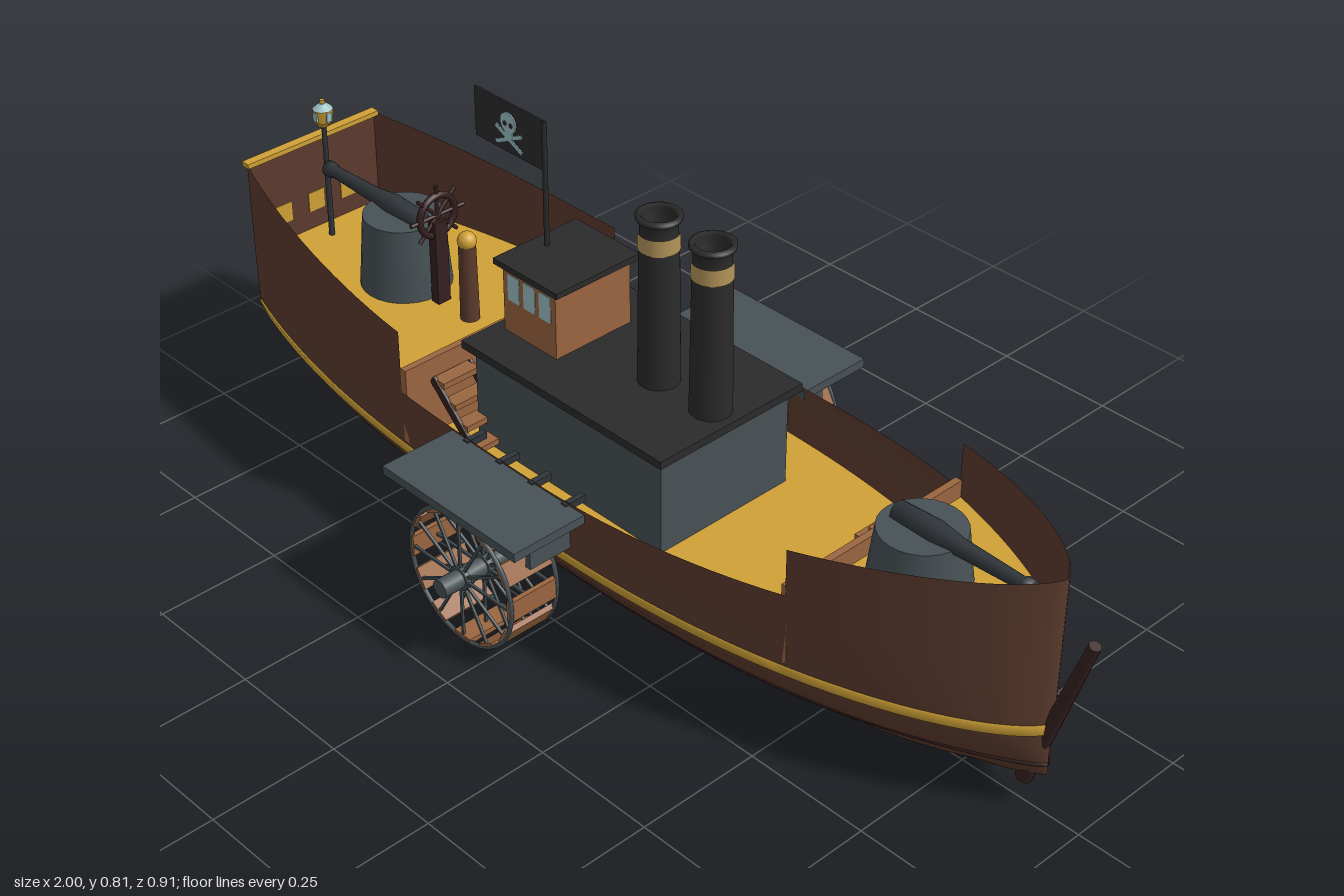
import * as THREE from 'three';

const mat = (name, color, side = THREE.FrontSide) => {
  const m = new THREE.MeshStandardMaterial({ color, side });
  m.name = name;
  return m;
};

// Hull form: half beam, bottom, rim and cross-section rules
const beam = x => 0.273 * (x > 0 ? (1 - Math.min(1, x / 0.925) ** 2.2) ** 0.7 : 1 - 0.43 * (-x / 0.98) ** 2.8);
const bottom = x => 0.006 + 0.092 * (Math.abs(x) / 0.98) ** 4;
const SECTION = [[0, 0], [0.03, 0.26], [0.21, 0.55], [0.47, 0.79], [0.74, 0.94], [1, 0.99], [1.5, 1]];
const halfWidth = (x, y) => {
  const k = (y - bottom(x)) / (0.2 - bottom(x));
  if (k <= 0) return 0;
  const i = SECTION.findIndex(s => s[0] >= k);
  if (i < 0) return beam(x);
  const [a, b] = [SECTION[i - 1], SECTION[i]];
  return beam(x) * (a[1] + (b[1] - a[1]) * (k - a[0]) / (b[0] - a[0]));
};
const rims = {
  aft: x => 0.44 + 0.06 * (Math.max(0, -0.39 - x) / 0.59) ** 1.3,
  waist: x => 0.31 + 0.032 * Math.max(0, x / 0.53) ** 1.5,
  fore: x => 0.435 + 0.05 * (x - 0.53) / 0.395,
};
const range = (a, b, n) => Array.from({ length: n + 1 }, (_, i) => a + (b - a) * i / n);
// Stations crowd together towards the blunt bow
const bowRange = range(0, 1, 18).map(t => 0.925 - 0.395 * (1 - t) ** 2);

// Skin between successive rows of [x, y, z] points
function loft(rows) {
  const n = rows[0].length, idx = [];
  for (let i = 0; i < rows.length - 1; i++)
    for (let j = 0; j < n - 1; j++) {
      const a = i * n + j, b = a + n;
      idx.push(a, b, a + 1, b, b + 1, a + 1);
    }
  const g = new THREE.BufferGeometry();
  g.setAttribute('position', new THREE.Float32BufferAttribute(rows.flat(2), 3));
  g.setIndex(idx);
  g.computeVertexNormals();
  return g;
}

export function createModel() {
  const D = THREE.DoubleSide;
  const hullM = mat('hull brown', 0x5c3b2d, D), wood = mat('light wood', 0x9a653f);
  const gold = mat('gold', 0xcfa136, D), black = mat('soot black', 0x2b2b2c, D);
  const slate = mat('slate metal', 0x475155), iron = mat('dark iron', 0x30353a);
  const dark = mat('dark timber', 0x35201f, D), glass = mat('pale glass', 0x9cc0c4);
  const tan = mat('tan band', 0xb4945a);

  const ship = new THREE.Group();
  ship.name = 'paddleSteamer';
  const add = (name, geo, m, x = 0, y = 0, z = 0, parent = ship) => {
    const mesh = new THREE.Mesh(geo, m);
    mesh.name = name;
    mesh.position.set(x, y, z);
    parent.add(mesh);
    return mesh;
  };
  const box = (name, m, w, h, d, x, y, z, p) => add(name, new THREE.BoxGeometry(w, h, d), m, x, y, z, p);
  const cyl = (name, m, r1, r2, h, x, y, z, p, seg = 24, open = false) =>
    add(name, new THREE.CylinderGeometry(r1, r2, h, seg, 1, open), m, x, y, z, p);
  const group = (name, x = 0, y = 0, z = 0) => {
    const g = new THREE.Group();
    g.name = name;
    g.position.set(x, y, z);
    ship.add(g);
    return g;
  };

  // Hull shell with stepped bulwarks
  const station = (x, rim) => {
    const yb = bottom(x), half = SECTION.map(([k, f]) => [x, yb + k * (0.2 - yb), f * beam(x)]);
    half[half.length - 1][1] = 0.295;
    half.push([x, rim(x), beam(x)]);
    return [...half.slice(1).reverse().map(([a, b, c]) => [a, b, -c]), ...half];
  };
  add('hull', loft([
    ...range(-0.98, -0.39, 14).map(x => station(x, rims.aft)),
    ...range(-0.39, 0.53, 20).map(x => station(x, rims.waist)),
    ...bowRange.map(x => station(x, rims.fore)),
  ]), hullM);
  const s = station(-0.98, rims.aft), mid = (s.length - 1) / 2;
  add('transom', loft(s.slice(mid).map(([x, y, z]) => [[x, y, -z], [x, y, z]])), hullM);

  // Painted bands along both sides
  const band = (name, m, y, h, t) => {
    for (const side of [-1, 1])
      add(name, loft([...range(-0.98, 0.51, 34), ...bowRange].map(x => {
        const lo = halfWidth(x, y), hi = halfWidth(x, y + h);
        return [[lo - 0.004, y], [lo + t, y], [hi + t, y + h], [hi - 0.004, y + h]]
          .map(([w, yy]) => [x, yy, side * w]);
      })), m);
  };
  band('goldStripe', gold, 0.172, 0.02, 0.005);
  band('waterlineStrake', dark, 0.1, 0.008, 0.003);

  // Decks and bulkheads
  const decks = [['aftDeck', range(-0.98, -0.39, 14), 0.3], ['mainDeck', range(-0.39, 0.53, 20), 0.2], ['foreDeck', bowRange, 0.325]];
  for (const [name, xs, y] of decks)
    add(name, loft(xs.map(x => [[x, y, -halfWidth(x, y)], [x, y, halfWidth(x, y)]])), gold);
  for (const x of [-0.385, 0.527])
    box('bulkhead', wood, 0.014, 0.16, 2 * beam(x) - 0.004, x, 0.28, 0);

  // Stairs up to the raised decks
  for (const [x0, dir, z, w] of [[-0.378, 1, 0.16, 0.085], [0.52, -1, -0.15, 0.09]]) {
    for (let i = 0; i < 4; i++)
      box('stairStep', wood, 0.032, 0.012, w, x0 + dir * (0.018 + i * 0.031), 0.315 - i * 0.032, z);
    for (const e of [-1, 1])
      box('stairStringer', dark, 0.165, 0.018, 0.006, x0 + dir * 0.062, 0.262, z + e * w / 2).rotation.z = -dir * 0.77;
  }

  // Keel, stem and rudder
  box('keel', dark, 1.37, 0.022, 0.026, -0.06, 0.011, 0);
  cyl('stem', dark, 0.011, 0.016, 0.357, 0.935, 0.22, 0, ship, 12).rotation.z = -Math.atan2(0.11, 0.34);
  box('rudder', dark, 0.016, 0.225, 0.075, -0.99, 0.14, 0);

  // Stern rail and windows
  box('sternRail', gold, 0.02, 0.01, 0.32, -0.98, 0.5, 0);
  for (const z of [-0.08, 0, 0.08]) box('sternWindow', gold, 0.008, 0.042, 0.038, -0.982, 0.36, z);

  // Deckhouse and pilothouse
  box('deckhouse', slate, 0.485, 0.2, 0.31, -0.065, 0.298, 0);
  box('deckhouseRoof', black, 0.52, 0.016, 0.345, -0.065, 0.404, 0);
  box('pilothouse', wood, 0.14, 0.14, 0.18, -0.23, 0.48, 0);
  box('pilothouseRoof', black, 0.17, 0.012, 0.2, -0.23, 0.554, 0);
  for (const side of [-1, 1])
    for (const x of [-0.272, -0.23, -0.188])
      box('pilothouseWindow', glass, 0.031, 0.054, 0.004, x, 0.508, side * 0.089);

  // Twin funnels with open tops
  for (const x of [0.01, 0.14]) {
    const f = group('funnel', x, 0, 0);
    const profile = [[0.039, 0.41], [0.036, 0.685], [0.034, 0.715], [0.034, 0.738], [0.041, 0.741], [0.042, 0.748],
      [0.034, 0.751], [0.03, 0.745], [0.03, 0.66], [0, 0.66]].map(p => new THREE.Vector2(...p));
    add('funnelPipe', new THREE.LatheGeometry(profile, 28), black, 0, 0, 0, f);
    cyl('funnelBand', tan, 0.0375, 0.038, 0.032, 0, 0.7, 0, f, 28, true);
  }

  // Flag with painted emblem on both faces
  cyl('flagpole', black, 0.005, 0.005, 0.255, -0.282, 0.6825, 0, ship, 10);
  const flag = group('flag', -0.375, 0.762, 0);
  box('flagCloth', black, 0.185, 0.1, 0.004, 0, 0, 0, flag);
  for (const side of [-1, 1]) {
    const z = side * 0.003;
    cyl('skull', glass, 0.021, 0.021, 0.003, 0, 0.01, z, flag, 16).rotation.x = Math.PI / 2;
    box('jaw', glass, 0.022, 0.018, 0.003, 0, -0.013, z, flag);
    for (const e of [-1, 1]) {
      box('bone', glass, 0.078, 0.008, 0.002, 0, -0.022, z, flag).rotation.z = e * 0.45;
      cyl('eye', black, 0.005, 0.005, 0.002, e * 0.008, 0.008, side * 0.0045, flag, 10).rotation.x = Math.PI / 2;
    }
  }

  // Paddle wheels, sponsons and brackets on each side
  for (const side of [-1, 1]) {
    const wheel = group('paddleWheel', -0.065, 0.145, 0);
    cyl('axle', slate, 0.018, 0.018, 0.21, 0, 0, side * 0.35, wheel, 16).rotation.x = Math.PI / 2;
    for (const z of [0.302, 0.355, 0.407]) {
      cyl('hub', slate, 0.024, 0.024, 0.01, 0, 0, side * z, wheel, 16).rotation.x = Math.PI / 2;
      if (z !== 0.355) add('wheelRim', new THREE.TorusGeometry(0.135, 0.0045, 6, 36), slate, 0, 0, side * z, wheel);
      for (let i = 0; i < 6; i++)
        box('spokePair', slate, 0.266, 0.005, 0.005, 0, 0, side * z, wheel).rotation.z = i * Math.PI / 6;
    }
    for (let i = 0; i < 12; i++) {
      const a = i * Math.PI / 6;
      box('paddle', wood, 0.01, 0.042, 0.11, 0.131 * Math.cos(a), 0.131 * Math.sin(a), side * 0.355, wheel).rotation.z = a;
    }
    box('sponson', slate, 0.35, 0.018, 0.16, -0.065, 0.297, side * 0.35);
    for (const x of [-0.195, -0.107, -0.022, 0.065]) {
      box('bracketArm', iron, 0.012, 0.014, 0.045, x, 0.302, side * 0.256);
      if (x < -0.15 || x > 0.05) box('bracket', slate, 0.012, 0.075, 0.095, x, 0.252, side * 0.315);
    }
  }

  // Deck guns on round mounts
  for (const [x, y, h, dir] of [[-0.7, 0.3, 0.15, -1], [0.63, 0.325, 0.1, 1]]) {
    const gun = group('deckGun', x, y, 0);
    cyl('gunMount', slate, 0.078, 0.09, h, 0, h / 2, 0, gun, 28);
    const barrel = new THREE.LatheGeometry([[0, -0.06], [0.02, -0.055], [0.023, 0.03], [0.016, 0.08], [0.012, 0.21],
      [0.016, 0.215], [0.016, 0.23], [0, 0.23]].map(p => new THREE.Vector2(...p)), 16);
    add('gunBarrel', barrel, iron, 0, h + 0.003, 0, gun).rotation.z = -dir * Math.PI / 2;
  }

  // Steering wheel on its stand
  const helm = group('helm', -0.595, 0.488, 0);
  box('helmStand', dark, 0.02, 0.18, 0.03, 0, -0.1, 0, helm);
  add('helmRing', new THREE.TorusGeometry(0.042, 0.007, 8, 28), dark, 0, 0, 0, helm).rotation.y = Math.PI / 2;
  for (let i = 0; i < 4; i++)
    cyl('helmSpokes', dark, 0.004, 0.004, 0.128, 0, 0, 0, helm, 8).rotation.x = i * Math.PI / 4;

  // Compass stand
  cyl('compassStand', hullM, 0.017, 0.019, 0.16, -0.51, 0.38, 0);
  add('compassCap', new THREE.SphereGeometry(0.019, 16, 12), gold, -0.51, 0.469, 0);

  // Stern lantern with glass panes in a gold frame
  const lamp = group('sternLantern', -0.935, 0, 0);
  cyl('lampPost', iron, 0.005, 0.006, 0.245, 0, 0.4225, 0, lamp, 10);
  cyl('lampBase', gold, 0.02, 0.01, 0.012, 0, 0.551, 0, lamp, 8);
  cyl('lampBody', gold, 0.021, 0.018, 0.026, 0, 0.57, 0, lamp, 8);
  cyl('lampCap', glass, 0.007, 0.021, 0.012, 0, 0.589, 0, lamp, 8);
  cyl('lampKnob', gold, 0.005, 0.005, 0.008, 0, 0.598, 0, lamp, 8);
  for (const side of [-1, 1]) {
    box('lampPane', glass, 0.004, 0.018, 0.012, side * 0.0185, 0.57, 0, lamp);
    box('lampPane', glass, 0.012, 0.018, 0.004, 0, 0.57, side * 0.0185, lamp);
  }
  return ship;
}
